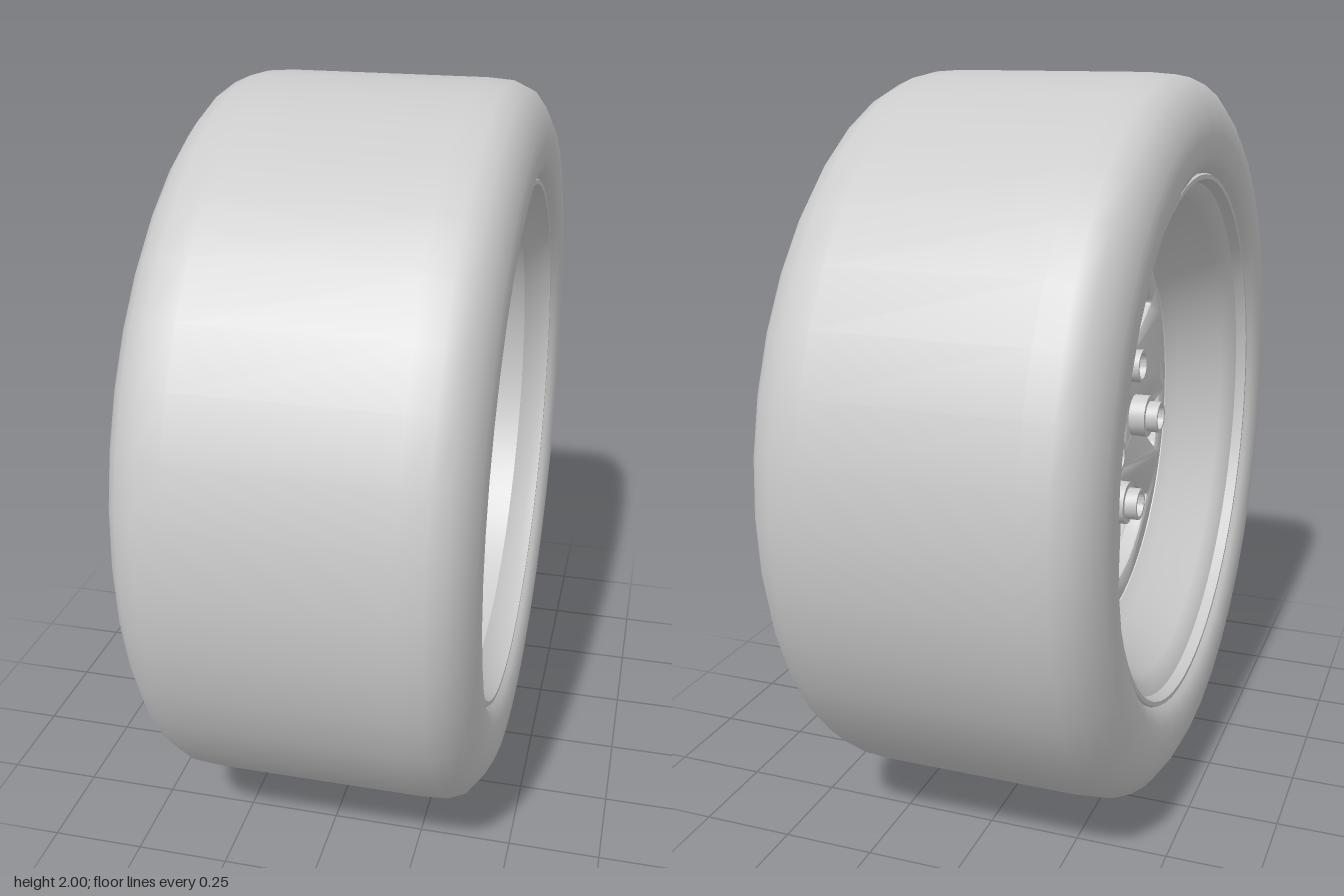
import * as THREE from 'three';
import { toCreasedNormals } from 'three/addons/utils/BufferGeometryUtils.js';

const mat = new THREE.MeshStandardMaterial({ color: 0xcccccc, side: THREE.DoubleSide });

function add(parent, name, geo) {
  const mesh = new THREE.Mesh(geo, mat);
  mesh.name = name;
  parent.add(mesh);
  return mesh;
}

// Revolve [radius, x] points about the wheel axle (the x axis)
function revolve(points, segments, crease = 0.6) {
  const geo = new THREE.LatheGeometry(points.map(([r, x]) => new THREE.Vector2(r, x)), segments);
  geo.rotateZ(-Math.PI / 2);
  return toCreasedNormals(geo, crease);
}

// Closed path through corner points, each rounded by its own radius
function roundedPath(corners) {
  const path = new THREE.Path();
  const n = corners.length;
  corners.forEach(({ p, r }, i) => {
    const prev = corners[(i + n - 1) % n].p, next = corners[(i + 1) % n].p;
    const a = p.clone().add(prev.clone().sub(p).setLength(r));
    const b = p.clone().add(next.clone().sub(p).setLength(r));
    if (i === 0) path.moveTo(a.x, a.y);
    else path.lineTo(a.x, a.y);
    path.quadraticCurveTo(p.x, p.y, b.x, b.y);
  });
  path.closePath();
  return path;
}

function circle(x, y, r) {
  const path = new THREE.Path();
  path.absarc(x, y, r, 0, Math.PI * 2, true);
  return path;
}

// Window between two spokes, wide at the ring and narrow at the hub
function windowPath(mid) {
  const at = (r, a) => new THREE.Vector2(r * Math.cos(mid + a), r * Math.sin(mid + a));
  return roundedPath([
    { p: at(0.235, -0.15), r: 0.025 },
    { p: at(0.497, -0.39), r: 0.03 },
    { p: at(0.505, -0.13), r: 0.05 },
    { p: at(0.505, 0.13), r: 0.05 },
    { p: at(0.497, 0.39), r: 0.03 },
    { p: at(0.235, 0.15), r: 0.025 },
  ]);
}

export function createModel() {
  const wheel = new THREE.Group();
  wheel.name = 'wheel';

  // Tyre: tread, shoulders, sidewalls and beads, closed on the inside
  const half = [
    [1.0, 0.27], [0.995, 0.34], [0.975, 0.385], [0.935, 0.415],
    [0.89, 0.437], [0.84, 0.442], [0.79, 0.44], [0.755, 0.425], [0.735, 0.4],
  ];
  const left = half.map(([r, x]) => [r, -x]).reverse();
  add(wheel, 'tyre', revolve([...left, ...half, [0.74, 0.36], [0.74, -0.36], left[0]], 40, 0.7));

  // Rim: deep barrel on one side, shallow dish on the other
  add(wheel, 'rim', revolve([
    [0.75, 0.39], [0.737, 0.415], [0.725, 0.415], [0.715, 0.385], [0.675, 0.34],
    [0.66, 0.12], [0.625, -0.02], [0.58, -0.11], [0.56, -0.14], [0.56, -0.19],
    [0.59, -0.22], [0.665, -0.345], [0.685, -0.37], [0.715, -0.385],
    [0.725, -0.415], [0.737, -0.415], [0.75, -0.39],
  ], 64));

  // Spoke plate: six spokes, outer ring, lug holes and hub bore
  const plate = new THREE.Shape();
  plate.absarc(0, 0, 0.555, 0, Math.PI * 2, false);
  for (let i = 0; i < 6; i++) plate.holes.push(windowPath((i * Math.PI) / 3));
  for (let i = 0; i < 4; i++) {
    const a = (i * Math.PI) / 2;
    plate.holes.push(circle(0.205 * Math.cos(a), 0.205 * Math.sin(a), 0.048));
  }
  plate.holes.push(circle(0, 0, 0.13));
  const plateGeo = new THREE.ExtrudeGeometry(plate, {
    depth: 0.03, curveSegments: 32, bevelThickness: 0.012, bevelSize: 0.01, bevelSegments: 2,
  });
  plateGeo.rotateY(Math.PI / 2).translate(-0.176, 0, 0);
  add(wheel, 'spokePlate', toCreasedNormals(plateGeo, 0.5));

  // Hub cap: cone with a flat tip
  add(wheel, 'hubCap', revolve([
    [0, -0.14], [0.14, -0.14], [0.14, -0.125], [0.125, -0.085], [0.075, -0.03], [0, -0.025],
  ], 32, 0.5));

  // Lug sleeves: wide collar, narrower tube, open right through
  const sleeveGeo = revolve([
    [0.036, -0.27], [0.046, -0.27], [0.046, -0.235], [0.062, -0.235],
    [0.062, -0.125], [0.05, -0.12], [0.036, -0.14], [0.036, -0.27],
  ], 24, 0.5);
  for (let i = 0; i < 4; i++) {
    const a = (i * Math.PI) / 2;
    add(wheel, 'lugSleeve', sleeveGeo).position.set(0, 0.205 * Math.sin(a), 0.205 * Math.cos(a));
  }

  // Small pins around the ring
  const pinGeo = new THREE.CylinderGeometry(0.016, 0.016, 0.05, 12).rotateZ(-Math.PI / 2);
  for (let i = 0; i < 8; i++) {
    const a = (i * Math.PI) / 4;
    add(wheel, 'ringPin', pinGeo).position.set(-0.135, 0.528 * Math.sin(a), 0.528 * Math.cos(a));
  }

  wheel.position.y = 1;
  const model = new THREE.Group();
  model.name = 'wheelAssembly';
  model.add(wheel);
  return model;
}
